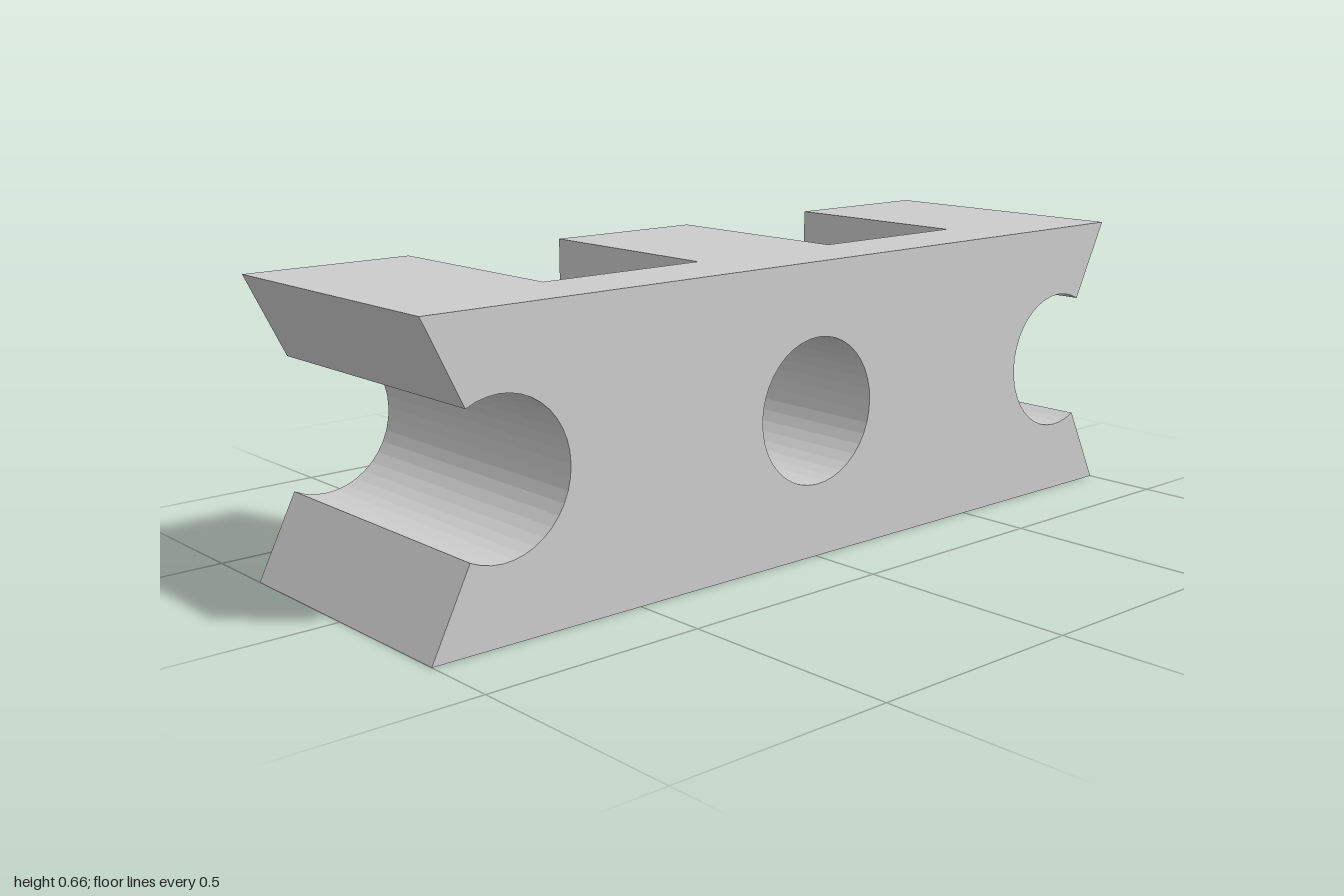
import * as THREE from 'three';

const H = 0.656;          // height, also the full depth
const R = 0.164;          // bore radius
const WEB_BACK = 0.16;    // back of the connecting front wall
const MID = 0.197;        // half width of the centre block
const END = 0.605;        // inner side of the end blocks

export function createModel() {
  const group = new THREE.Group();
  const material = new THREE.MeshStandardMaterial({ color: 0xcccccc, flatShading: true });

  const add = (name, geometry) => {
    const mesh = new THREE.Mesh(geometry, material);
    mesh.name = name;
    group.add(mesh);
    return mesh;
  };
  const extrude = (shape, curveSegments) =>
    new THREE.ExtrudeGeometry(shape, { depth: H, bevelEnabled: false, curveSegments })
      .translate(0, 0, -H / 2);

  // Centre block with a round through bore
  const centre = new THREE.Shape();
  centre.moveTo(-MID, 0).lineTo(MID, 0).lineTo(MID, H).lineTo(-MID, H).closePath();
  const bore = new THREE.Path();
  bore.absarc(0, H / 2, R, 0, Math.PI * 2, true);
  centre.holes.push(bore);
  add('centreBlock', extrude(centre, 20));

  // End blocks: a tapered mouth opening into a round channel
  const angle = Math.asin(0.1465 / R);
  const end = new THREE.Shape();
  end.moveTo(END, 0);
  end.lineTo(1, 0);
  end.absarc(0.835, H / 2, R, -angle, angle, true);
  end.lineTo(1, H);
  end.lineTo(END, H);
  end.closePath();
  const endGeometry = extrude(end, 13);
  add('leftEndBlock', endGeometry);
  add('rightEndBlock', endGeometry).rotation.y = Math.PI;

  // Front walls joining the blocks, without their buried end faces
  for (const side of [1, -1]) {
    const wall = new THREE.BoxGeometry(END - MID, H, H / 2 - WEB_BACK);
    wall.setIndex(Array.from(wall.index.array).slice(12));
    wall.clearGroups();
    wall.translate(side * (END + MID) / 2, H / 2, (H / 2 + WEB_BACK) / 2);
    add(side > 0 ? 'leftFrontWall' : 'rightFrontWall', wall);
  }

  return group;
}
